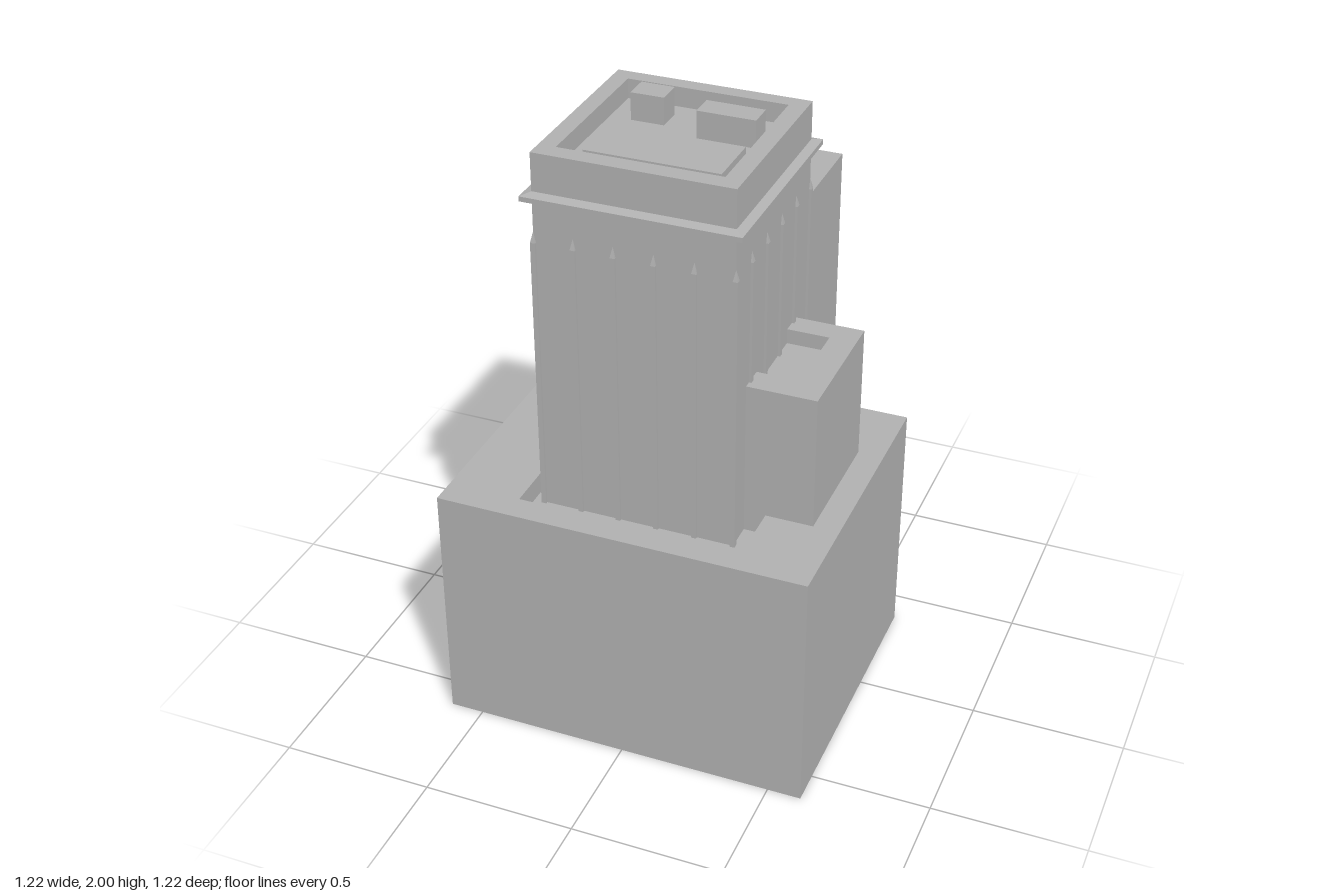
import * as THREE from 'three';

const stone = new THREE.MeshStandardMaterial({ color: 0xb0b0b0 });
stone.name = 'grey stone';

function add(parent, name, geometry) {
  const mesh = new THREE.Mesh(geometry, stone);
  mesh.name = name;
  parent.add(mesh);
  return mesh;
}

// Box given by its limits
function block(parent, name, [x0, x1], [y0, y1], [z0, z1]) {
  const mesh = add(parent, name, new THREE.BoxGeometry(x1 - x0, y1 - y0, z1 - z0));
  mesh.position.set((x0 + x1) / 2, (y0 + y1) / 2, (z0 + z1) / 2);
  return mesh;
}

function trace(path, [x0, x1], [z0, z1]) {
  path.moveTo(x0, -z1).lineTo(x1, -z1).lineTo(x1, -z0).lineTo(x0, -z0).closePath();
  return path;
}

// Box with a sunken rectangular roof behind a parapet
function sunkenBlock(parent, name, x, y, z, holeX, holeZ, depth) {
  const group = new THREE.Group();
  group.name = name;
  parent.add(group);
  block(group, name + 'Body', x, [y[0], y[1] - depth], z);
  const shape = trace(new THREE.Shape(), x, z);
  shape.holes.push(trace(new THREE.Path(), holeX, holeZ));
  const rim = new THREE.ExtrudeGeometry(shape, { depth, bevelEnabled: false });
  rim.rotateX(-Math.PI / 2);
  add(group, name + 'Parapet', rim).position.y = y[1] - depth;
}

export function createModel() {
  const model = new THREE.Group();
  model.name = 'towerBuilding';

  // Main masses
  sunkenBlock(model, 'podium', [-0.61, 0.61], [0, 0.83], [-0.38, 0.61], [-0.37, 0.37], [0.25, 0.52], 0.07);
  sunkenBlock(model, 'tower', [-0.335, 0.3], [0.7, 1.975], [-0.2225, 0.4125], [-0.28, 0.242], [-0.17, 0.353], 0.065);
  sunkenBlock(model, 'rearShaft', [-0.168, 0.278], [0, 1.625], [-0.61, -0.22], [-0.08, 0.19], [-0.522, -0.25], 0.06);
  sunkenBlock(model, 'sideWing', [0.29, 0.525], [0.7, 1.28], [-0.125, 0.318], [0.3, 0.438], [-0.045, 0.228], 0.05);

  // Rooftop plant
  block(model, 'roofSlab', [-0.237, 0.197], [1.9, 1.935], [0.07, 0.265]);
  block(model, 'roofHut', [-0.21, -0.102], [1.9, 2], [-0.112, -0.027]);
  block(model, 'roofUnit', [0.022, 0.21], [1.9, 2], [-0.06, 0.022]);

  // Cornice: square ring with sloped top and underside
  const cx = -0.0175, cz = 0.095, half = 0.3175;
  const profile = [[-0.01, 1.811], [0.028, 1.826], [0.028, 1.842], [-0.01, 1.854]]
    .map(([out, y]) => new THREE.Vector2((half + out) * Math.SQRT2, y));
  const ring = new THREE.LatheGeometry(profile, 4).rotateY(Math.PI / 4).toNonIndexed();
  ring.computeVertexNormals();
  add(model, 'cornice', ring).position.set(cx, 0, cz);

  // Slim ribs with pointed tops around the tower
  const ribs = new THREE.Group();
  ribs.name = 'ribs';
  model.add(ribs);
  const r = 0.008;
  const tip = new THREE.ConeGeometry(r * Math.SQRT2, 0.035, 4).rotateY(Math.PI / 4).toNonIndexed();
  tip.computeVertexNormals();
  function rib(x, z) {
    block(ribs, 'rib', [x - r, x + r], [0.75, 1.685], [z - r, z + r]);
    add(ribs, 'ribTip', tip).position.set(x, 1.7025, z);
  }
  for (let i = 0; i < 5; i++) {
    const t = -half + (i * 2 * half) / 5;
    rib(cx + t, cz + half);
    rib(cx + half, cz - t);
    rib(cx - t, cz - half);
    rib(cx - half, cz + t);
  }
  return model;
}
